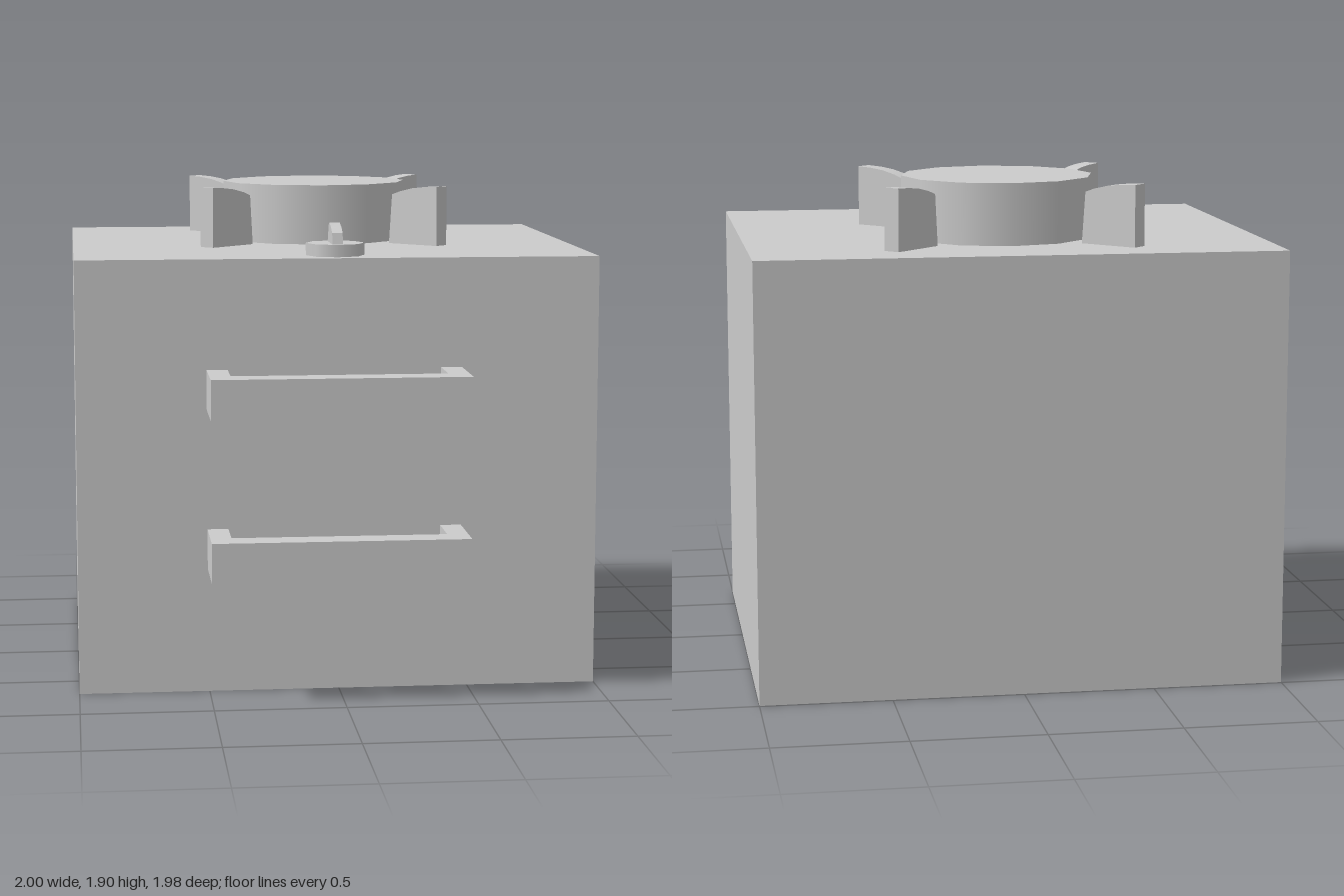
import * as THREE from 'three';
import { toCreasedNormals } from 'three/addons/utils/BufferGeometryUtils.js';

const TOP = 1.667;

// Flat outline given depth, with softly shaded curved edges
function slab(points, depth) {
  const shape = new THREE.Shape(points.map(([x, y]) => new THREE.Vector2(x, y)));
  const geometry = new THREE.ExtrudeGeometry(shape, { depth, bevelEnabled: false });
  geometry.translate(0, 0, -depth / 2);
  return toCreasedNormals(geometry, 0.6);
}

export function createModel() {
  const model = new THREE.Group();
  model.name = 'campStove';
  const grey = new THREE.MeshStandardMaterial({ color: 0xcccccc });
  grey.name = 'grey';

  function add(name, geometry, x, y, z, parent = model) {
    const mesh = new THREE.Mesh(geometry, grey);
    mesh.name = name;
    mesh.position.set(x, y, z);
    parent.add(mesh);
    return mesh;
  }

  // Body block
  add('body', new THREE.BoxGeometry(2, TOP, 1.695), 0, TOP / 2, -0.147);

  // Burner drum and the four pot supports around it
  const burner = new THREE.Group();
  burner.name = 'burner';
  burner.position.set(0, TOP, -0.325);
  model.add(burner);
  add('burnerDrum', new THREE.CylinderGeometry(0.375, 0.375, 0.238, 12), 0, 0.119, 0, burner);
  const support = slab([
    [0.425, 0], [0.665, 0], [0.665, 0.236], [0.6, 0.233], [0.54, 0.226], [0.48, 0.212], [0.44, 0.198],
  ], 0.066);
  for (let i = 0; i < 4; i++) {
    add('potSupport', support, 0, 0, 0, burner).rotation.y = Math.PI / 4 + i * Math.PI / 2;
  }

  // Control knob with a raised grip
  add('knobBase', new THREE.CylinderGeometry(0.113, 0.113, 0.047, 8), 0, TOP + 0.0235, 0.547);
  const grip = slab([
    [0.463, 0], [0.644, 0], [0.633, 0.043], [0.59, 0.062], [0.527, 0.076], [0.5, 0.066],
  ], 0.04);
  grip.rotateY(-Math.PI / 2);
  add('knobGrip', grip, 0, TOP + 0.047, 0);

  // Two bracket handles on the front
  const handle = slab([
    [-0.505, 0.7], [-0.425, 0.7], [-0.425, 0.885], [0.392, 0.885],
    [0.392, 0.7], [0.472, 0.7], [0.472, 0.99], [-0.505, 0.99],
  ], 0.154);
  handle.rotateX(Math.PI / 2);
  for (const y of [0.557, 1.17]) add('handle', handle, 0, y, 0);

  return model;
}
